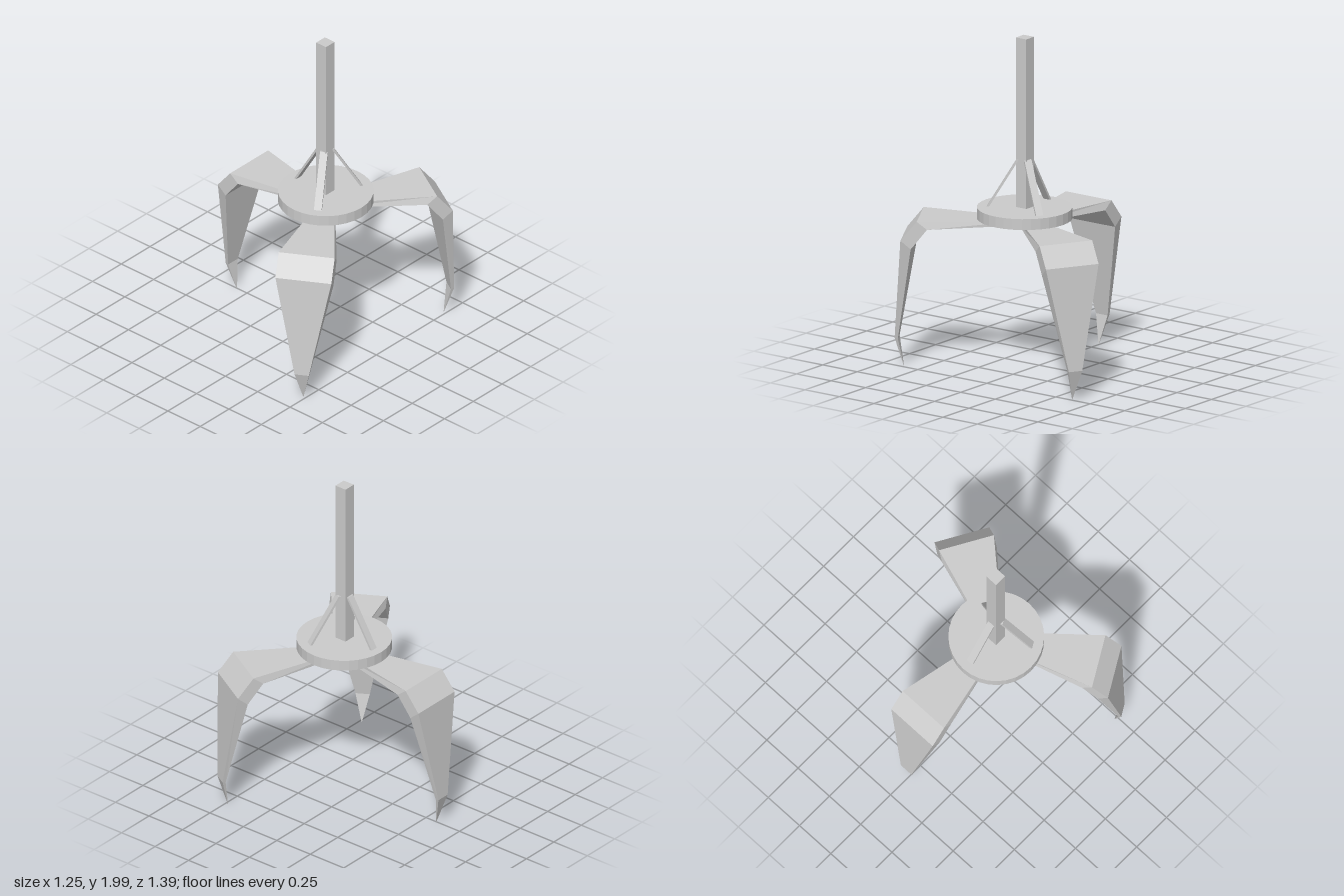
import * as THREE from 'three';

const material = new THREE.MeshStandardMaterial({ color: 0xcccccc, flatShading: true });

function add(group, name, geometry, x = 0, y = 0, z = 0) {
  const mesh = new THREE.Mesh(geometry, material);
  mesh.name = name;
  mesh.position.set(x, y, z);
  group.add(mesh);
  return mesh;
}

// Joins four-cornered sections [outer r, outer y, inner r, inner y, half width]
function loft(sections) {
  const rings = sections.map(([ro, yo, ri, yi, w]) => [[ro, yo, w], [ro, yo, -w], [ri, yi, -w], [ri, yi, w]]);
  const pos = [];
  const quad = (a, b, c, d) => pos.push(...a, ...b, ...c, ...a, ...c, ...d);
  for (let s = 0; s < rings.length - 1; s++) {
    for (let i = 0; i < 4; i++) {
      const j = (i + 1) % 4;
      quad(rings[s][i], rings[s + 1][i], rings[s + 1][j], rings[s][j]);
    }
  }
  const [a, b, c, d] = rings[0];
  quad(a, b, c, d);
  const [e, f, g, h] = rings[rings.length - 1];
  quad(h, g, f, e);
  const geometry = new THREE.BufferGeometry();
  geometry.setAttribute('position', new THREE.Float32BufferAttribute(pos, 3));
  geometry.computeVertexNormals();
  return geometry;
}

export function createModel() {
  const model = new THREE.Group();
  model.name = 'grabClaw';
  const cx = 0.118, cz = 0.013;

  // Square pole standing on a round plate
  add(model, 'pole', new THREE.BoxGeometry(0.075, 1.06, 0.075), cx, 1.47, cz);
  add(model, 'plate', new THREE.CylinderGeometry(0.277, 0.277, 0.065, 32), cx + 0.003, 0.9525, cz);

  // Bent claw, from the hub over the knee down to the point
  const clawGeometry = loft([
    [0, 0.915, 0, 0.888, 0.04],
    [0.61, 0.922, 0.55, 0.875, 0.165],
    [0.705, 0.805, 0.645, 0.755, 0.165],
    [0.754, 0.19, 0.735, 0.185, 0.042],
    [0.705, 0.012, 0.704, 0.012, 0.001],
  ]);

  // Flat slanted brace between pole and plate
  const braceGeometry = loft([
    [0.045, 1.275, 0.03, 1.275, 0.0225],
    [0.224, 0.98, 0.209, 0.98, 0.0225],
  ]);

  // Three of each around the pole
  for (const angle of [Math.PI, Math.PI / 3, -Math.PI / 3]) {
    add(model, 'claw', clawGeometry, 0.13, 0, 0.004).rotation.y = angle;
    add(model, 'brace', braceGeometry, cx, 0, cz).rotation.y = angle;
  }
  return model;
}
